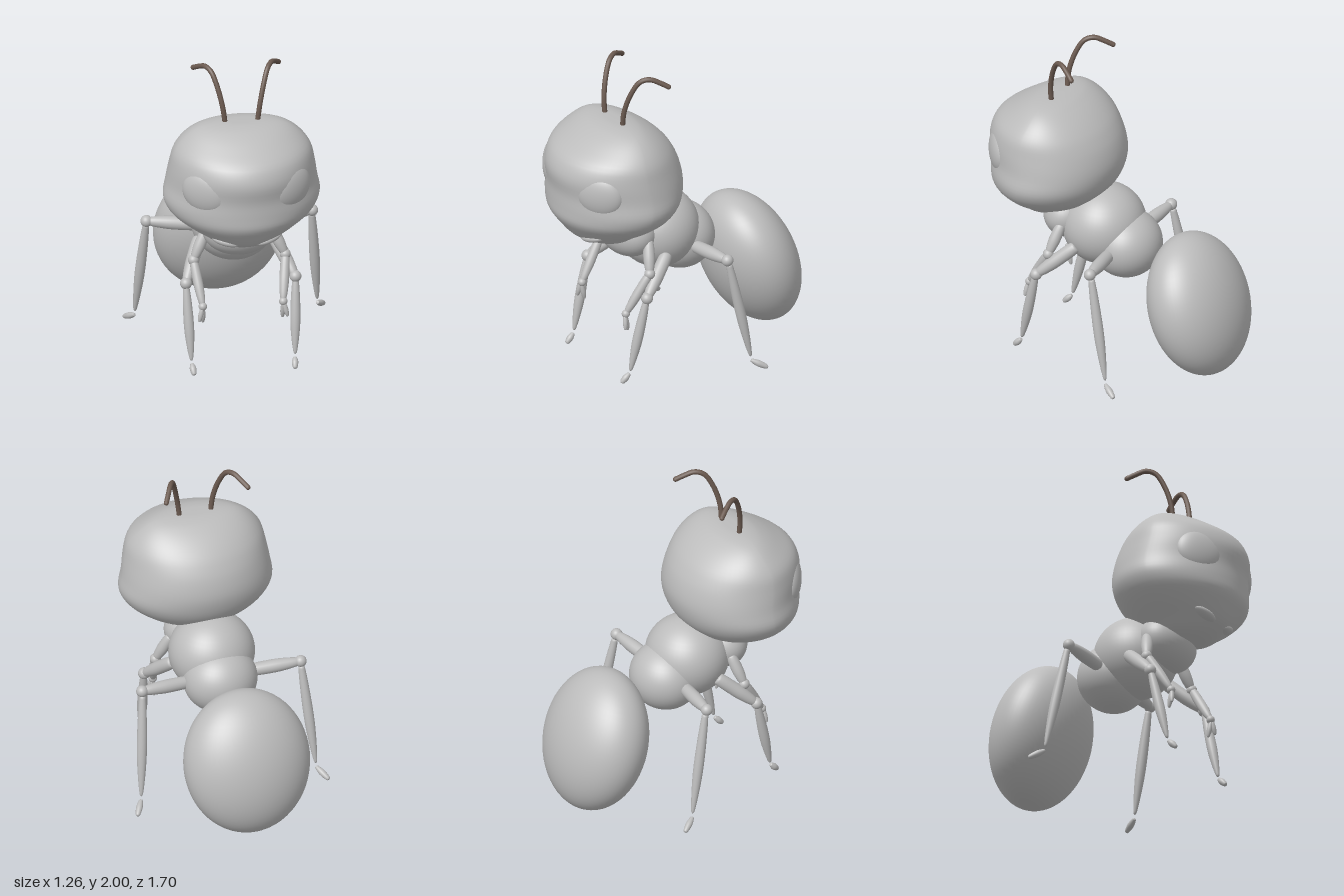
import * as THREE from 'three';

const grey = new THREE.MeshStandardMaterial({ color: 0xbcbcbc });
grey.name = 'body grey';
const brown = new THREE.MeshStandardMaterial({ color: 0x6b5a50 });
brown.name = 'antenna brown';

const V = (p) => new THREE.Vector3(...p);
const UP = new THREE.Vector3(0, 1, 0);

function add(group, name, geometry, material = grey) {
  const mesh = new THREE.Mesh(geometry, material);
  mesh.name = name;
  group.add(mesh);
  return mesh;
}

function ellipsoid(group, name, centre, radii, rotation = [0, 0, 0], detail = 48) {
  const mesh = add(group, name, new THREE.SphereGeometry(1, detail, detail / 2));
  mesh.position.set(...centre);
  mesh.scale.set(...radii);
  mesh.rotation.set(...rotation);
  return mesh;
}

// Limb segment: a lathed spindle running from a to b, with its own end and middle radii
function spindle(group, name, a, b, r0, rMid, r1) {
  const from = V(a), to = V(b), length = from.distanceTo(to);
  const key = [[0, 0], [r0 * 0.8, 0.015], [r0, 0.06], [rMid, 0.4], [rMid * 0.95, 0.65], [r1, 0.95], [r1 * 0.6, 0.985], [0, 1]];
  const curve = new THREE.CatmullRomCurve3(key.map(([r, t]) => new THREE.Vector3(r, t * length, 0)), false, 'centripetal');
  const profile = curve.getPoints(28).map((p) => new THREE.Vector2(Math.max(p.x, 0), p.y));
  const mesh = add(group, name, new THREE.LatheGeometry(profile, 20));
  mesh.position.copy(from);
  mesh.quaternion.setFromUnitVectors(UP, to.sub(from).normalize());
}

// Head: horizontal cross-sections [y, halfWidth, zBack, zFront], pointed a little to the front
function headGeometry() {
  const sections = [
    [0.868, 0, 0.48, 0.48], [0.872, 0.1, 0.42, 0.56], [0.9, 0.18, 0.33, 0.64], [0.95, 0.25, 0.235, 0.72],
    [1.02, 0.36, 0.14, 0.78], [1.1, 0.45, 0.07, 0.83], [1.18, 0.485, 0.035, 0.835], [1.28, 0.47, 0.02, 0.835],
    [1.4, 0.45, 0.045, 0.85], [1.5, 0.425, 0.1, 0.81], [1.58, 0.365, 0.18, 0.7], [1.64, 0.28, 0.275, 0.59],
    [1.665, 0.17, 0.35, 0.51], [1.67, 0, 0.43, 0.43],
  ];
  const widths = new THREE.CatmullRomCurve3(sections.map(([y, w]) => new THREE.Vector3(w, y, 0)));
  const depths = new THREE.CatmullRomCurve3(sections.map(([y, , b, f]) => new THREE.Vector3(b, y, f)));
  const rows = 52, cols = 72, positions = [], index = [];
  for (let i = 0; i <= rows; i++) {
    const w = widths.getPoint(i / rows), d = depths.getPoint(i / rows);
    const mid = (d.x + d.z) / 2, half = (d.z - d.x) / 2;
    for (let j = 0; j < cols; j++) {
      const a = (j / cols) * Math.PI * 2, s = Math.sin(a);
      const z = s > 0 ? Math.pow(s, 1.18) : s;
      positions.push(Math.max(w.x, 0) * Math.cos(a), w.y, mid + half * z);
      if (i < rows) {
        const p = i * cols + j, q = i * cols + ((j + 1) % cols);
        index.push(p, p + cols, q + cols, p, q + cols, q);
      }
    }
  }
  const geometry = new THREE.BufferGeometry();
  geometry.setAttribute('position', new THREE.Float32BufferAttribute(positions, 3));
  geometry.setIndex(index);
  geometry.computeVertexNormals();
  return geometry;
}

export function createModel() {
  const model = new THREE.Group();
  model.name = 'ant';

  // Body
  add(model, 'head', headGeometry());
  ellipsoid(model, 'neck', [0, 0.885, 0.33], [0.23, 0.17, 0.165]);
  ellipsoid(model, 'frontThorax', [0, 0.84, 0.11], [0.268, 0.255, 0.26]);
  ellipsoid(model, 'rearThorax', [0, 0.74, -0.05], [0.232, 0.212, 0.218]);
  ellipsoid(model, 'abdomen', [0, 0.45, -0.555], [0.4, 0.455, 0.272], [0.32, 0, 0], 64);

  for (const s of [1, -1]) {
    const side = new THREE.Group();
    side.name = s > 0 ? 'leftSide' : 'rightSide';
    model.add(side);
    const m = ([x, y, z]) => [x * s, y, z];
    const limb = (name, a, b, ...r) => spindle(side, name, m(a), m(b), ...r);
    const joint = (name, c, r) => ellipsoid(side, name, m(c), [r, r, r], [0, 0, 0], 24);

    // Face
    ellipsoid(side, 'eye', m([0.263, 1.325, 0.695]), [0.155, 0.145, 0.07], [0, 0.61 * s, 0]);
    ellipsoid(side, 'mandible', m([0.135, 0.967, 0.665]), [0.09, 0.03, 0.045], [0, 0.3 * s, 0.25 * s], 32);

    // Antenna
    const path = new THREE.CatmullRomCurve3([
      [0.098, 1.63, 0.425], [0.115, 1.76, 0.423], [0.145, 1.89, 0.39], [0.175, 1.97, 0.345],
      [0.205, 1.987, 0.295], [0.24, 1.96, 0.235], [0.265, 1.935, 0.195],
    ].map((p) => V(m(p))));
    add(side, 'antenna', new THREE.TubeGeometry(path, 40, 0.016, 12), brown);
    const tip = ellipsoid(side, 'antennaTip', m([0.265, 1.935, 0.195]), [0.016, 0.016, 0.016], [0, 0, 0], 12);
    tip.material = brown;

    // Front arm with two fingers
    limb('armUpper', [0.2, 0.87, 0.3], [0.285, 0.69, 0.345], 0.03, 0.036, 0.022);
    joint('armElbow', [0.285, 0.69, 0.345], 0.034);
    limb('armLower', [0.285, 0.685, 0.35], [0.25, 0.445, 0.495], 0.026, 0.03, 0.018);
    joint('armWrist', [0.25, 0.442, 0.497], 0.026);
    limb('armFinger', [0.25, 0.43, 0.5], [0.247, 0.325, 0.48], 0.012, 0.016, 0.008);
    limb('armFinger', [0.255, 0.43, 0.505], [0.275, 0.345, 0.515], 0.012, 0.015, 0.008);

    // Middle leg
    limb('middleLegUpper', [0.225, 0.76, 0.18], [0.34, 0.56, 0.4], 0.038, 0.042, 0.025);
    joint('middleLegKnee', [0.34, 0.56, 0.4], 0.037);
    limb('middleLegLower', [0.34, 0.545, 0.405], [0.322, 0.08, 0.51], 0.022, 0.031, 0.013);
    limb('middleLegFoot', [0.32, 0.065, 0.515], [0.313, 0.01, 0.57], 0.012, 0.02, 0.012);

    // Rear leg
    limb('rearLegUpper', [0.17, 0.74, -0.03], [0.515, 0.767, -0.075], 0.036, 0.042, 0.025);
    joint('rearLegKnee', [0.515, 0.767, -0.075], 0.037);
    limb('rearLegLower', [0.515, 0.745, -0.085], [0.567, 0.085, -0.212], 0.022, 0.031, 0.013);
    limb('rearLegFoot', [0.568, 0.062, -0.212], [0.622, 0.01, -0.302], 0.012, 0.02, 0.012);
  }
  return model;
}
